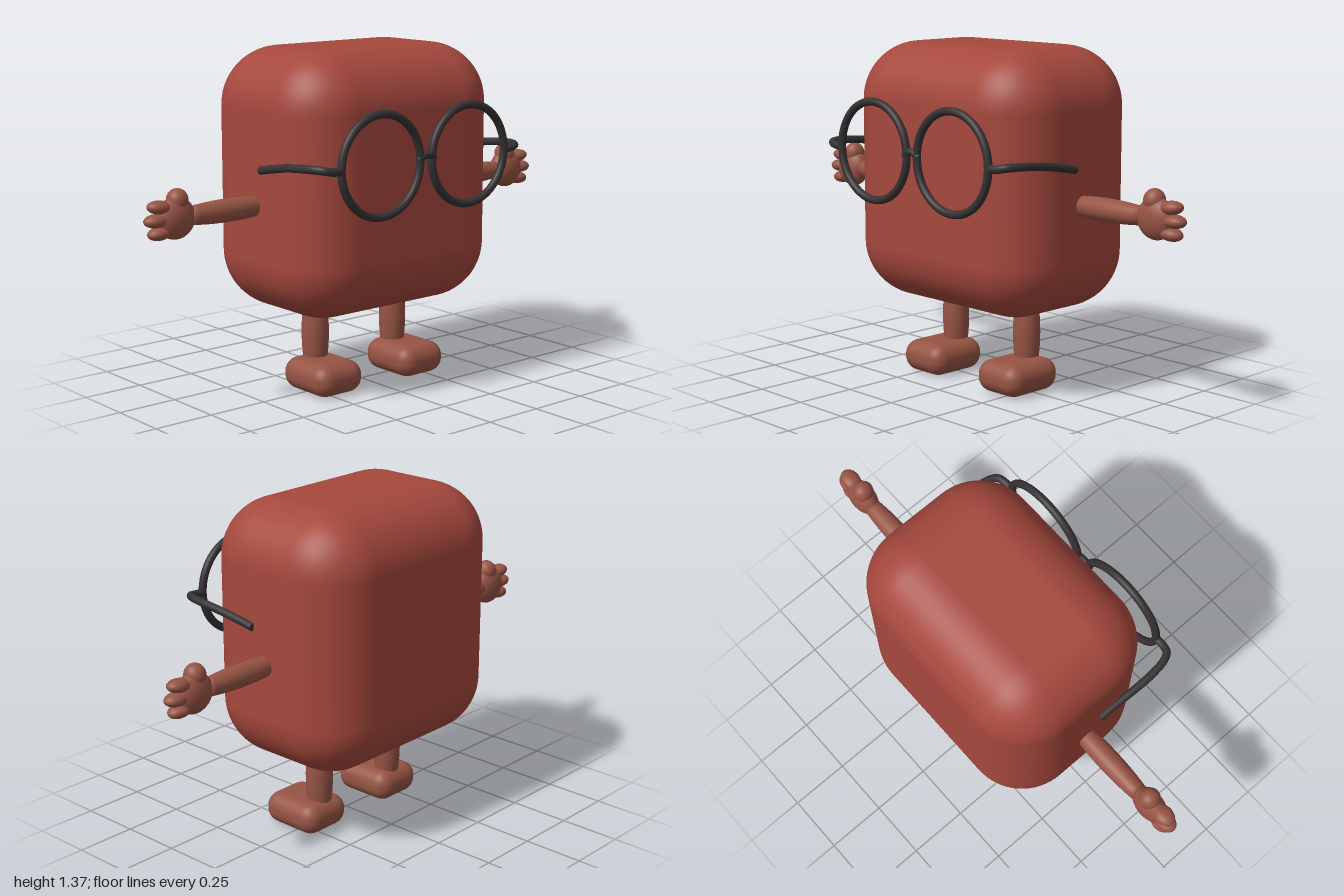
import * as THREE from 'three';
import { RoundedBoxGeometry } from 'three/addons/geometries/RoundedBoxGeometry.js';

const MID_Z = -0.042; // depth of the body and limb axes

export function createModel() {
  const model = new THREE.Group();
  model.name = 'blockCharacter';
  const material = (name, color) => {
    const m = new THREE.MeshStandardMaterial({ color });
    m.name = name;
    return m;
  };
  const bodyRed = material('brick red', 0xa5483d);
  const skin = material('reddish brown', 0x965444);
  const frame = material('charcoal', 0x363132);

  const add = (parent, name, geometry, mat, x = 0, y = 0, z = 0) => {
    const mesh = new THREE.Mesh(geometry, mat);
    mesh.name = name;
    mesh.position.set(x, y, z);
    parent.add(mesh);
    return mesh;
  };
  const ellipsoid = (rx, ry, rz) => new THREE.SphereGeometry(1, 28, 20).scale(rx, ry, rz);
  const tube = (points, radius) => new THREE.TubeGeometry(
    new THREE.CatmullRomCurve3(points.map((p) => new THREE.Vector3(...p))), 48, radius, 14);

  // Limb with a gently swollen middle and closed ends, centred on its axis
  const limb = (length, endRadius, midRadius) => {
    const points = [new THREE.Vector2(0, -length / 2)];
    for (let i = 0; i <= 12; i++) {
      const t = i / 6 - 1;
      points.push(new THREE.Vector2(midRadius - (midRadius - endRadius) * t * t, t * length / 2));
    }
    points.push(new THREE.Vector2(0, length / 2));
    return new THREE.LatheGeometry(points, 28);
  };

  // Body
  add(model, 'body', new RoundedBoxGeometry(1.01, 1.046, 0.725, 10, 0.235), bodyRed, 0, 0.848, MID_Z);

  const glasses = new THREE.Group();
  glasses.name = 'glasses';
  model.add(glasses);

  for (const s of [1, -1]) {
    const side = s > 0 ? 'left' : 'right';

    // Arm
    const arm = add(model, side + 'Arm', limb(0.36, 0.034, 0.045), skin, s * 0.63, 0.775, MID_Z);
    arm.rotation.z = -s * Math.PI / 2;

    // Hand: palm, thumb on top, three stubby fingers
    const hand = new THREE.Group();
    hand.name = side + 'Hand';
    model.add(hand);
    add(hand, 'palm', ellipsoid(0.083, 0.081, 0.05), skin, s * 0.865, 0.775, MID_Z);
    add(hand, 'thumb', ellipsoid(0.042, 0.046, 0.043), skin, s * 0.855, 0.84, MID_Z);
    for (const [x, y] of [[0.935, 0.823], [0.95, 0.774], [0.935, 0.726]]) {
      const finger = add(hand, 'finger', ellipsoid(0.05, 0.026, 0.037), skin, s * x, y, MID_Z);
      finger.rotation.z = s * (y - 0.774) * 2;
    }

    // Leg and foot
    add(model, side + 'Leg', limb(0.28, 0.044, 0.055), skin, s * 0.206, 0.225, MID_Z);
    add(model, side + 'Foot', new RoundedBoxGeometry(0.23, 0.13, 0.275, 7, 0.06), skin, s * 0.218, 0.065, 0.022);

    // Round rim and the temple that bends back along the body
    add(glasses, side + 'Rim', new THREE.TorusGeometry(0.195, 0.016, 14, 64), frame, s * 0.2246, 0.954, 0.383);
    const temple = [
      [0.42, 0.954, 0.383], [0.46, 0.956, 0.383], [0.492, 0.962, 0.372], [0.51, 0.964, 0.34],
      [0.52, 0.961, 0.27], [0.52, 0.953, 0.19], [0.514, 0.938, 0.1], [0.51, 0.921, 0.012],
    ].map(([x, y, z]) => [s * x, y, z]);
    add(glasses, side + 'Temple', tube(temple, 0.016), frame);
    const tip = temple[temple.length - 1];
    add(glasses, side + 'TempleTip', new THREE.CircleGeometry(0.016, 14), frame, ...tip).rotation.y = Math.PI;
  }

  // Arched nose bridge
  add(glasses, 'bridge', tube([[-0.04, 0.955, 0.383], [-0.018, 0.971, 0.387], [0.018, 0.971, 0.387], [0.04, 0.955, 0.383]], 0.015), frame);

  return model;
}
